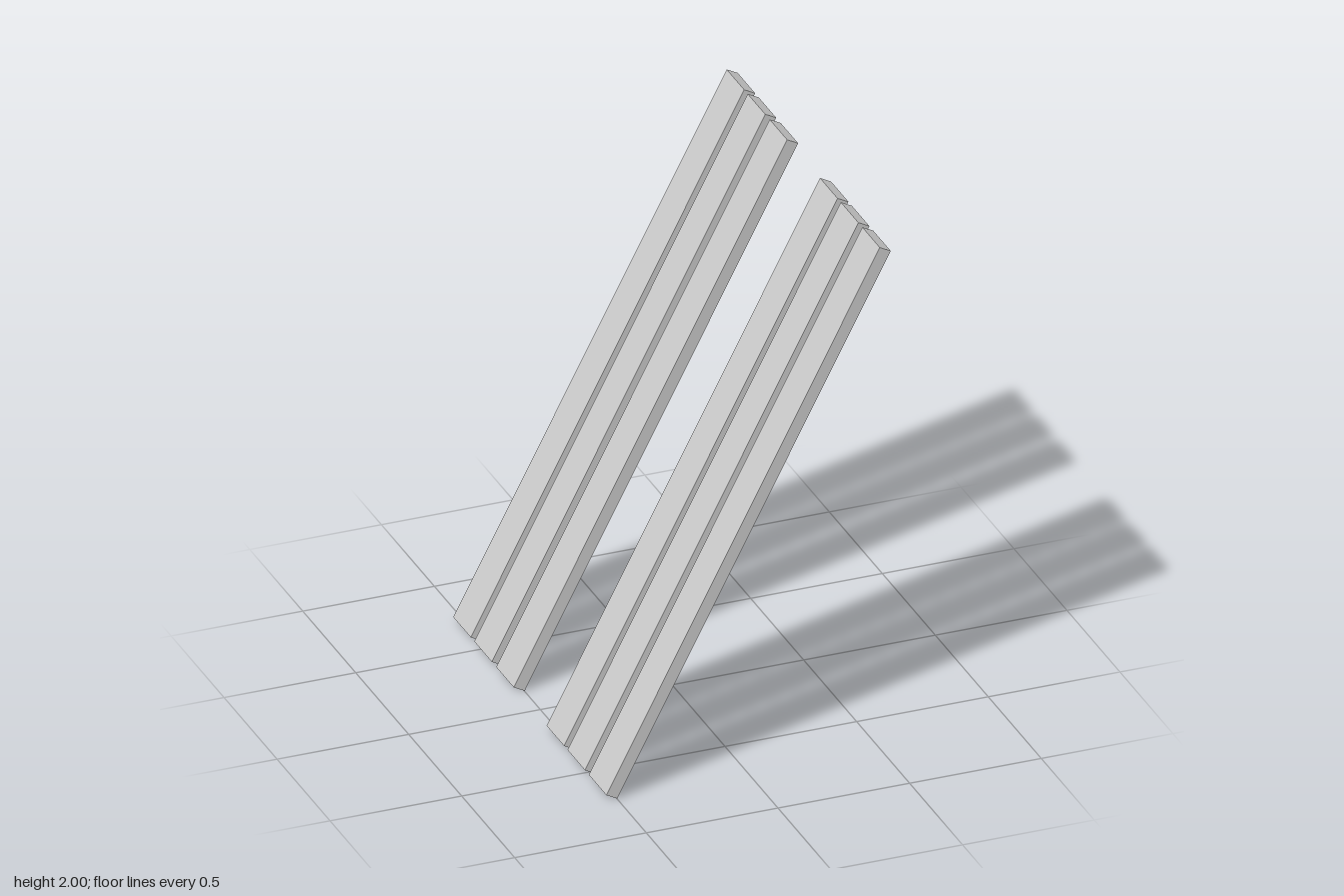
import * as THREE from 'three';

const TILT = THREE.MathUtils.degToRad(27.7);
const LENGTH = 2.234;
const THICKNESS = 0.047;
const WIDTH = 0.165;

export function createModel() {
  const model = new THREE.Group();
  model.name = 'slopedPlanks';
  const material = new THREE.MeshStandardMaterial({ color: 0xcccccc, flatShading: true });
  const plank = new THREE.BoxGeometry(THICKNESS, LENGTH, WIDTH);

  // Two banks of three parallel planks, separated by a wide gap
  const banks = {
    frontBank: [0.64, 0.438, 0.241],
    backBank: [-0.234, -0.441, -0.64],
  };
  for (const [name, centres] of Object.entries(banks)) {
    const bank = new THREE.Group();
    bank.name = name;
    centres.forEach((z, i) => {
      const mesh = new THREE.Mesh(plank, material);
      mesh.name = `${name}Plank${i + 1}`;
      mesh.position.z = z;
      bank.add(mesh);
    });
    // Lean the whole bank towards +x
    bank.position.y = 1;
    bank.rotation.z = -TILT;
    model.add(bank);
  }
  return model;
}
